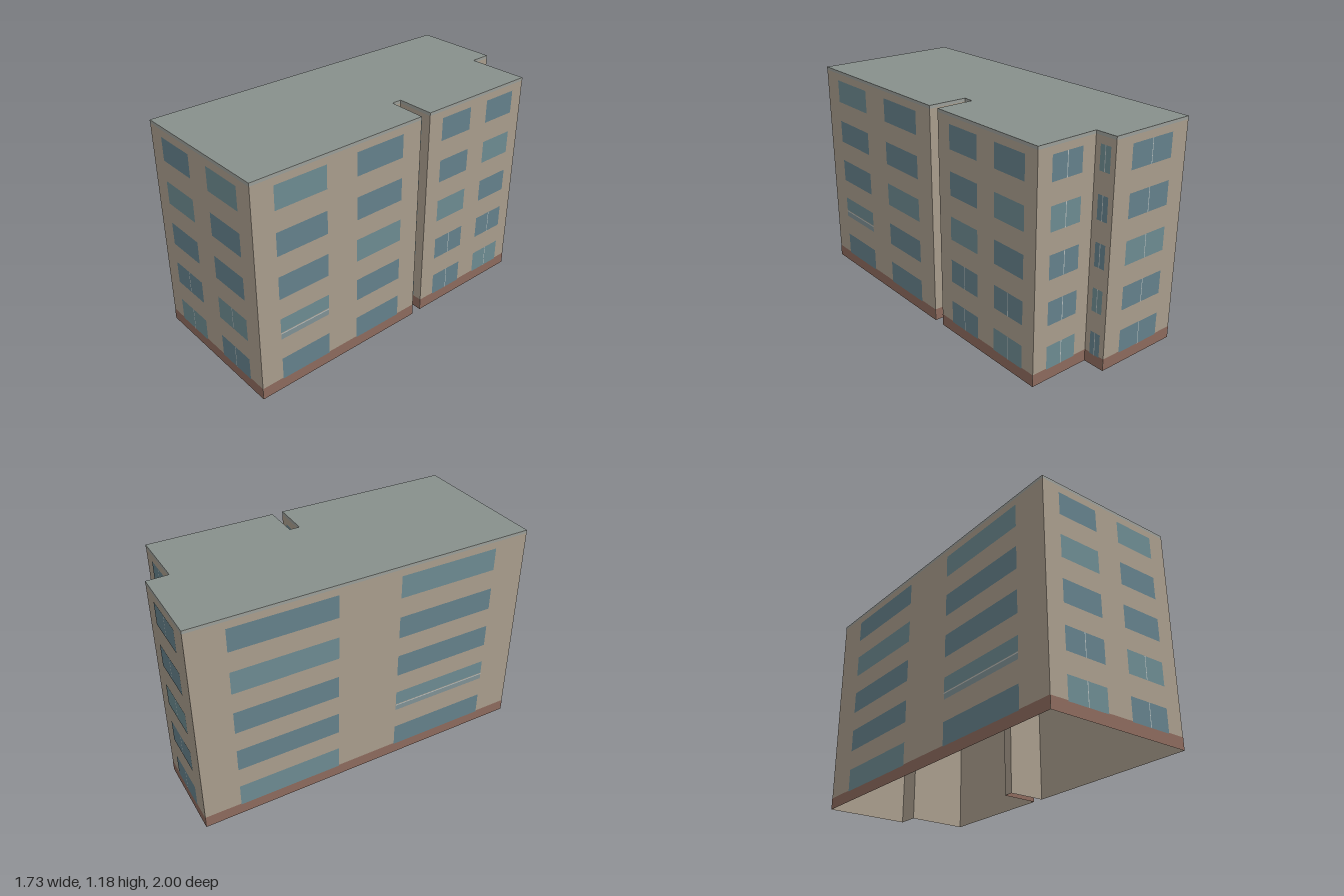
import * as THREE from 'three';

const HEIGHT = 1.185, BASE = 0.065, TRIM = 0.016;
const WINDOW_H = 0.125, FIRST_SILL = 0.06, STOREY = 0.2365, STOREYS = 5;

// Footprint walls in order: start corner [x, z], windows as fractions along
// the wall, number of storeys with a mullion, window with a lowered panel.
const WALLS = [
  { name: 'frontEndWall', at: [-0.865, 0.49], windows: [[0.12, 0.41], [0.59, 0.88]], mullions: 2 },
  { name: 'mainFacade', at: [-0.22, 0.995], windows: [[0.12, 0.41], [0.59, 0.88]], mullions: 0, spandrel: 0 },
  { name: 'slotFrontWall', at: [0.395, 0.205], windows: [[0.25, 0.75]], mullions: 0 },
  { name: 'slotBackWall', at: [0.233, 0.072], windows: [], mullions: 0 },
  { name: 'slotRearWall', at: [0.268, 0.028], windows: [[0.25, 0.75]], mullions: 0 },
  { name: 'wingFacade', at: [0.43, 0.155], windows: [[0.13, 0.425], [0.6, 0.89]], mullions: 2 },
  { name: 'wingEndWall', at: [0.86, -0.4], windows: [[0.24, 0.77]], mullions: 5 },
  { name: 'recessWall', at: [0.59, -0.61], windows: [[0.26, 0.77]], mullions: 5 },
  { name: 'rearEndWall', at: [0.66, -0.705], windows: [[0.22, 0.78]], mullions: 5 },
  { name: 'backFacade', at: [0.287, -1], windows: [[0.104, 0.407], [0.593, 0.896]], mullions: 0, spandrel: 1 },
];

const material = (color, side = THREE.FrontSide) => {
  const m = new THREE.MeshStandardMaterial({ side });
  m.color.set(color);
  return m;
};

export function createModel() {
  const model = new THREE.Group();
  model.name = 'apartmentBlock';
  const wallMat = material(0xa89c8c, THREE.DoubleSide);
  const roofMat = material(0x87908c, THREE.DoubleSide);
  const baseMat = material(0x8c6a5d);
  const trimMat = material(0x9a9d98);
  const glassMats = [0x64808a, 0x6c8a90].map((c) => material(c));
  const panelMat = material(0x7f9094);
  const frameMat = material(0xb4bcbc);

  WALLS.forEach((wall, w) => {
    const [x0, z0] = wall.at;
    const [x1, z1] = WALLS[(w + 1) % WALLS.length].at;
    const length = Math.hypot(x1 - x0, z1 - z0);

    // Local frame: x runs along the wall, z points outward
    const group = new THREE.Group();
    group.name = wall.name;
    group.position.set(x0, 0, z0);
    group.rotation.y = Math.atan2(z0 - z1, x1 - x0);
    model.add(group);

    const panel = (name, a, b, bottom, top, offset, mat) => {
      const mesh = new THREE.Mesh(new THREE.PlaneGeometry(b - a, top - bottom), mat);
      mesh.position.set((a + b) / 2, (bottom + top) / 2, offset);
      mesh.name = name;
      group.add(mesh);
    };

    panel('wall', 0, length, 0, HEIGHT, 0, wallMat);
    panel('plinth', 0, length, 0, BASE, 0.001, baseMat);
    panel('roofTrim', 0, length, HEIGHT - TRIM, HEIGHT, 0.001, trimMat);

    // Window grid
    wall.windows.forEach(([t0, t1], column) => {
      const a = t0 * length, b = t1 * length, mid = (a + b) / 2;
      for (let s = 0; s < STOREYS; s++) {
        const sill = FIRST_SILL + s * STOREY, head = sill + WINDOW_H;
        const glass = glassMats[(s * 2 + column + w) % 3 === 0 ? 1 : 0];
        if (s === 1 && wall.spandrel === column) {
          // Shortened window above a paler panel with a thin rail
          panel('window', a, b, sill + 0.045, head, 0.002, glass);
          panel('windowRail', a, b, sill + 0.037, sill + 0.042, 0.003, frameMat);
          panel('windowPanel', a, b, sill + 0.006, sill + 0.037, 0.002, panelMat);
          continue;
        }
        panel('window', a, b, sill, head, 0.002, glass);
        if (s < wall.mullions) panel('mullion', mid - 0.002, mid + 0.002, sill, head, 0.003, frameMat);
      }
    });
  });

  // Flat roof over the footprint
  const outline = new THREE.Shape(WALLS.map(({ at: [x, z] }) => new THREE.Vector2(x, -z)));
  const roof = new THREE.Mesh(new THREE.ShapeGeometry(outline), roofMat);
  roof.rotation.x = -Math.PI / 2;
  roof.position.y = HEIGHT;
  roof.name = 'roof';
  model.add(roof);

  return model;
}
